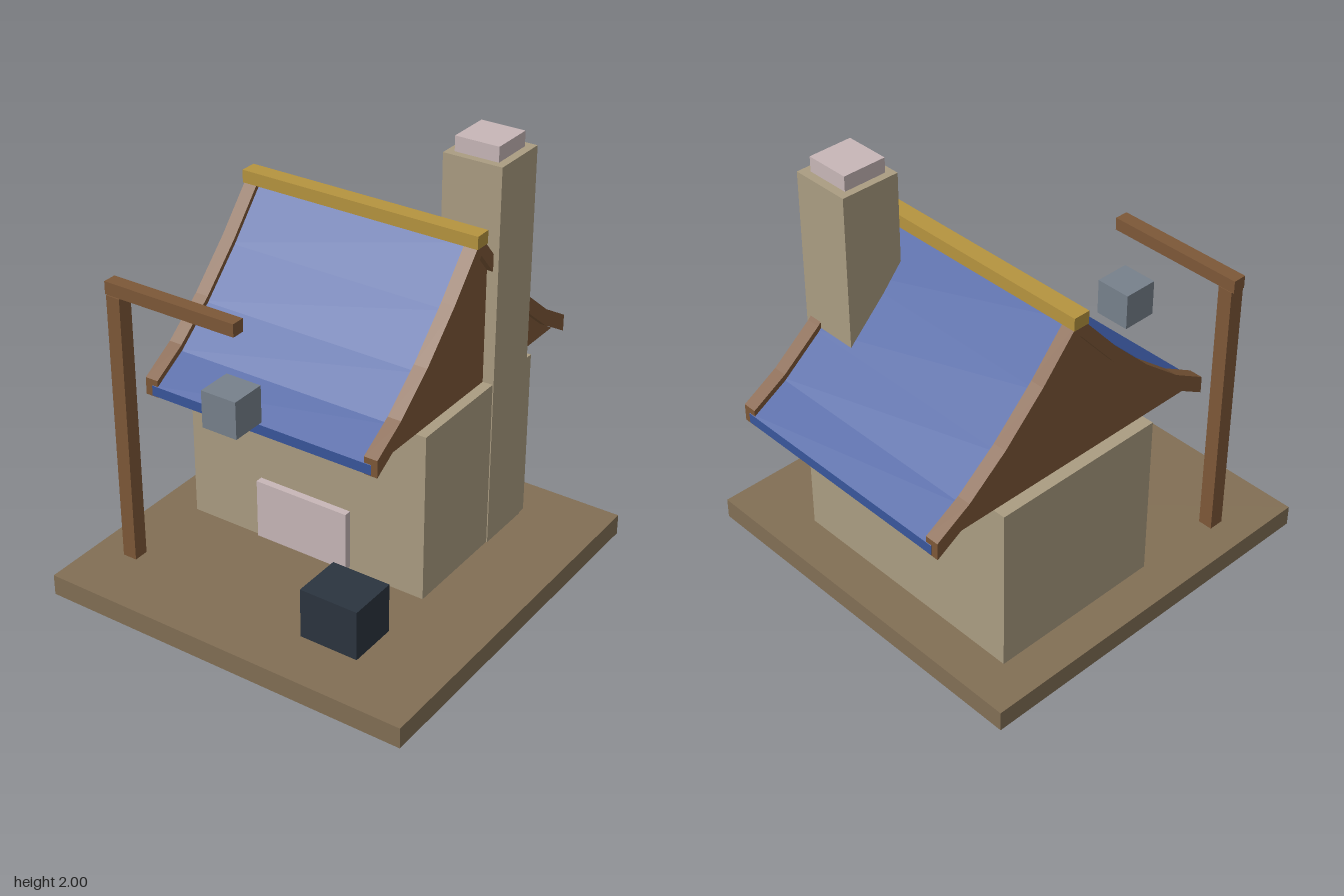
import * as THREE from 'three';

const mat = (name, color) => {
  const m = new THREE.MeshStandardMaterial({ color });
  m.name = name;
  return m;
};

export function createModel() {
  const model = new THREE.Group();
  model.name = 'cottage';
  const earth = mat('earth', 0x826f55);
  const plaster = mat('plaster', 0xab9d82);
  const wood = mat('wood', 0x7d5838);
  const blue = mat('blue roof', 0x39569c);
  const gold = mat('gold', 0xb6943f);
  const pale = mat('pale pink', 0xc8b7b8);
  const dark = mat('dark slate', 0x2b343f);
  const grey = mat('grey', 0x77818c);

  const add = (name, geometry, material) => {
    const mesh = new THREE.Mesh(geometry, material);
    mesh.name = name;
    model.add(mesh);
  };

  // Box given by its limits on each axis
  const box = (name, material, x0, x1, y0, y1, z0, z1) => {
    const g = new THREE.BoxGeometry(x1 - x0, y1 - y0, z1 - z0);
    g.translate((x0 + x1) / 2, (y0 + y1) / 2, (z0 + z1) / 2);
    add(name, g, material);
  };

  // Outline in (z, y) extruded across x
  const across = (name, material, points, x0, x1) => {
    const shape = new THREE.Shape(points.map(([z, y]) => new THREE.Vector2(z, y)));
    const g = new THREE.ExtrudeGeometry(shape, { depth: x1 - x0, bevelEnabled: false });
    g.rotateY(-Math.PI / 2);
    g.translate(x1, 0, 0);
    add(name, g, material);
  };

  // Ground, walls, door, chimney
  box('base', earth, -0.91, 0.91, 0, 0.1, -0.85, 0.98);
  box('walls', plaster, -0.72, 0.52, 0.1, 0.915, -0.65, 0.21);
  box('door', pale, -0.34, 0.14, 0.12, 0.41, 0.21, 0.245);
  box('chimney', plaster, 0.24, 0.525, 0.1, 1.93, -0.605, -0.32);
  box('chimneyCap', pale, 0.275, 0.487, 1.93, 2, -0.565, -0.355);

  // Flared roof: distance from the ridge and height of the upper edge
  const ridgeZ = -0.22;
  const slope = [[0, 1.65], [0.2, 1.42], [0.4, 1.22], [0.59, 1.066], [0.76, 0.965]];
  const curve = (drop, extra = 0) => {
    const pts = slope.map(([d, y]) => [d + (d > 0.7 ? extra : 0), y - drop]);
    const back = pts.slice(1).reverse().map(([d, y]) => [ridgeZ - d, y]);
    return [...back, ...pts.map(([d, y]) => [ridgeZ + d, y])];
  };
  const band = (top, bottom, extra) => [...curve(top, extra), ...curve(bottom, extra).reverse()];
  across('roofSlab', blue, band(0.03, 0.078, 0.002), -0.66, 0.47);

  // Verge boards and gable panels at both ends
  const underside = curve(0.079).slice(1, -1);
  const gable = [[ridgeZ - 0.7, 0.915], ...underside, [ridgeZ + 0.7, 0.915]];
  for (const [side, board, panel] of [
    ['left', [0.435, 0.5], [0.44, 0.47]],
    ['right', [-0.695, -0.63], [-0.66, -0.635]],
  ]) {
    across(side + 'VergeBoard', wood, band(0, 0.082, 0), ...board);
    across(side + 'Gable', wood, gable, ...panel);
  }
  box('ridgeBeam', gold, -0.7, 0.505, 1.61, 1.67, -0.26, -0.18);

  // Sign post, arm and hanging block
  box('signPost', wood, -0.76, -0.69, 0.1, 1.4, 0.61, 0.683);
  box('signArm', wood, -0.77, -0.1, 1.4, 1.46, 0.613, 0.677);
  box('hangingBlock', grey, -0.235, -0.06, 0.965, 1.14, 0.56, 0.73);

  // Crate in the yard
  box('crate', dark, 0.24, 0.525, 0.1, 0.34, 0.48, 0.72);

  return model;
}
